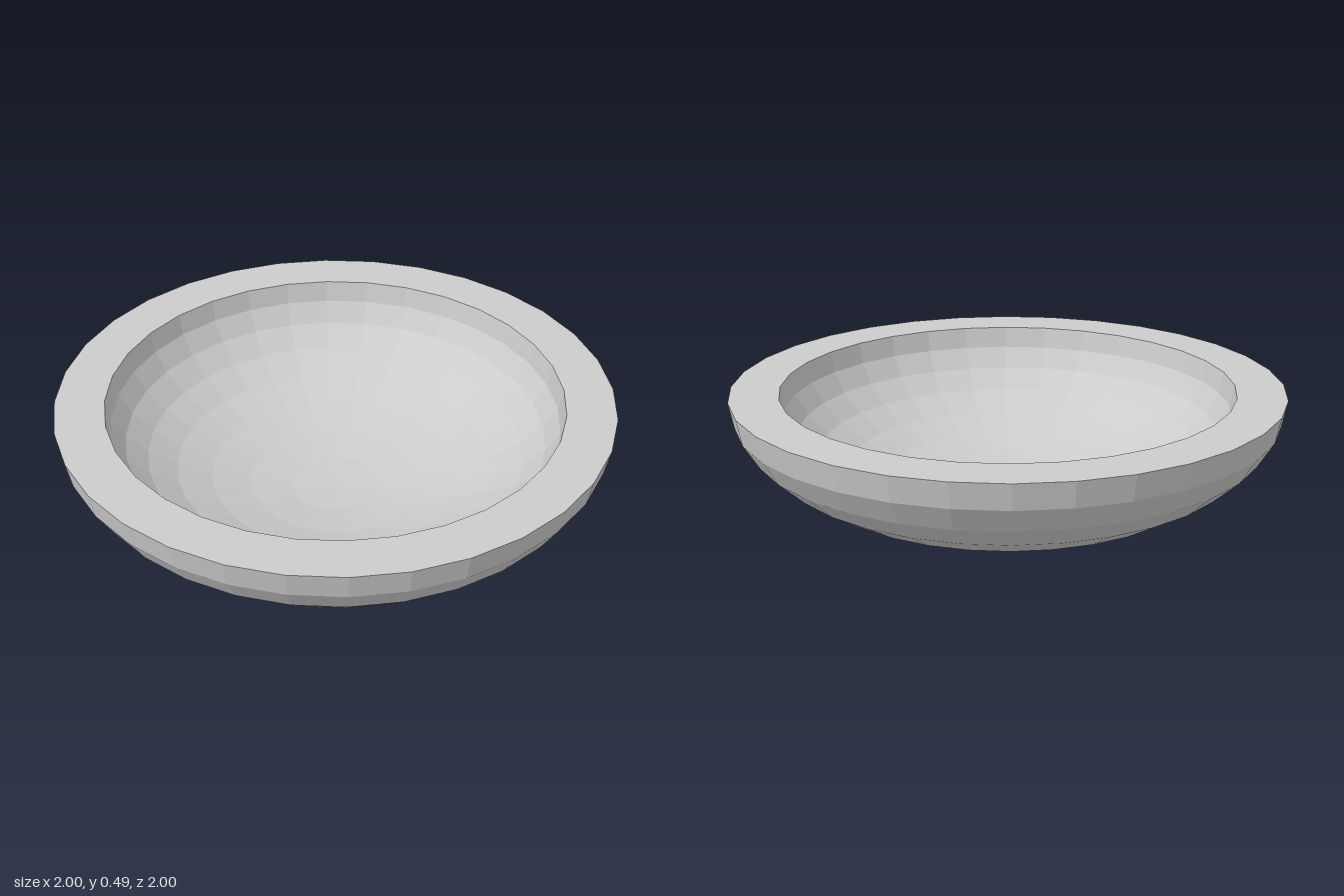
import * as THREE from 'three';

const HEIGHT = 0.49;       // rim height
const INNER_SCALE = 0.822; // hollow relative to the outer shell
const RINGS = 8;
const SIDES = 32;

// Quarter-ellipse from the pole up to the rim, scaled about the rim centre
function arc(scale) {
  return Array.from({ length: RINGS + 1 }, (_, i) => {
    const a = (i / RINGS) * Math.PI / 2;
    return new THREE.Vector2(scale * Math.sin(a), HEIGHT * (1 - scale * Math.cos(a)));
  });
}

export function createModel() {
  const group = new THREE.Group();
  group.name = 'bowl';

  // Closed profile: outer shell upward, flat rim, hollow back down
  const profile = [...arc(1), ...arc(INNER_SCALE).reverse()];
  const material = new THREE.MeshStandardMaterial({ color: 0xcccccc, flatShading: true });
  const shell = new THREE.Mesh(new THREE.LatheGeometry(profile, SIDES), material);
  shell.name = 'bowlShell';
  group.add(shell);

  return group;
}
